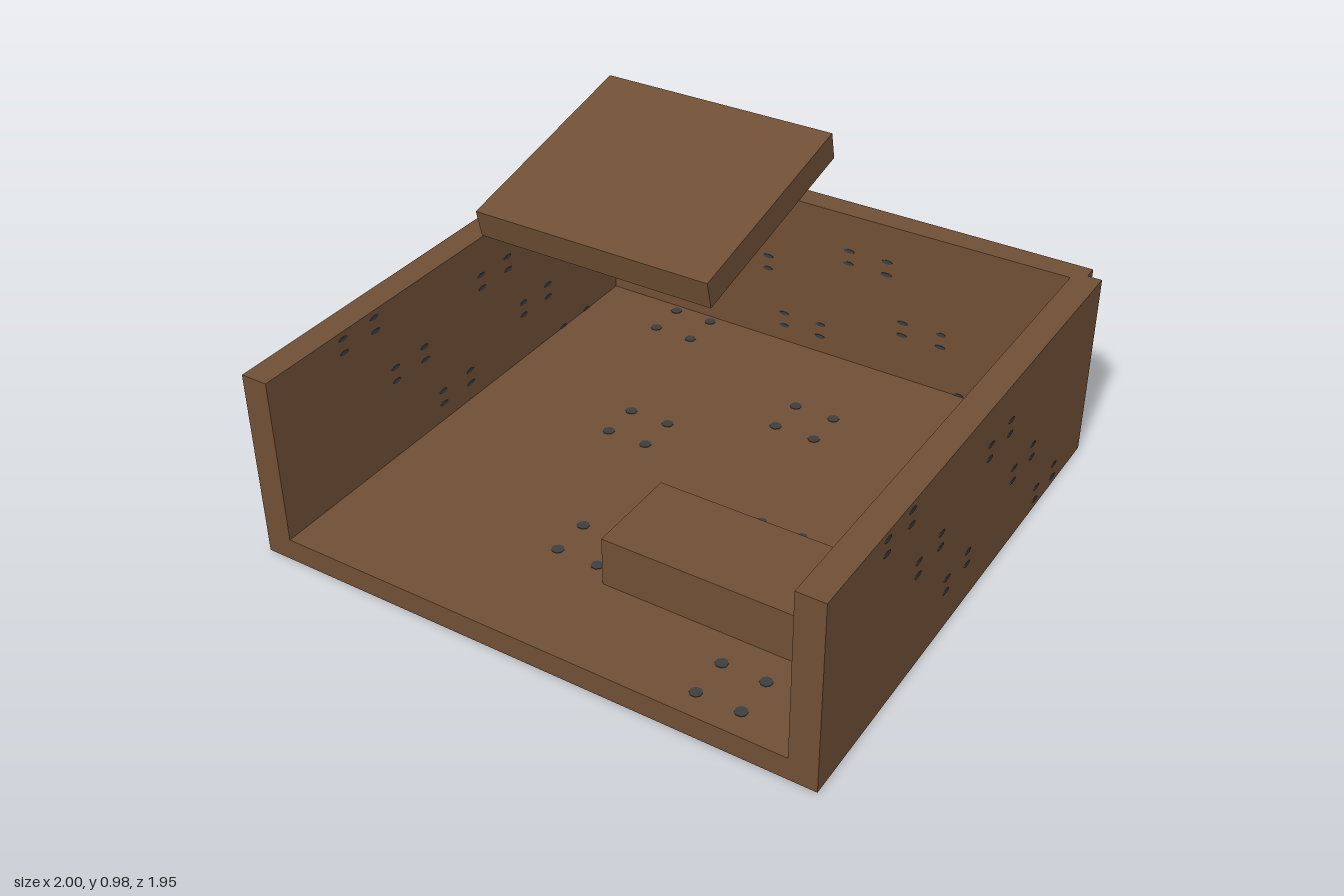
import * as THREE from 'three';

export function createModel() {
  const wood = new THREE.MeshStandardMaterial({ color: 0x704f35 });
  wood.name = 'brown wood';
  const metal = new THREE.MeshStandardMaterial({ color: 0x3c3e40 });
  metal.name = 'dark metal';

  const model = new THREE.Group();
  model.name = 'openTray';

  const board = (name, w, h, d) => {
    const mesh = new THREE.Mesh(new THREE.BoxGeometry(w, h, d), wood);
    mesh.name = name;
    return mesh;
  };

  // Cluster centres: x in units, second value as a fraction of the panel depth
  const clusters = [
    [-0.53, -0.424], [-0.305, -0.08], [-0.08, 0.247],
    [0.17, -0.253], [0.395, 0.082], [0.63, 0.416],
  ];
  const studShape = new THREE.CylinderGeometry(0.021, 0.021, 1, 8).rotateY(Math.PI / 8);

  // Board lying flat, with groups of four studs almost flush with both faces
  function studdedPanel(name, w, t, d) {
    const group = new THREE.Group();
    group.name = name;
    group.add(board(name + 'Board', w, t, d));
    for (const [x, f] of clusters) {
      for (const sx of [-1, 1]) {
        for (const sz of [-1, 1]) {
          const stud = new THREE.Mesh(studShape, metal);
          stud.name = 'stud';
          stud.scale.set(1, t + 0.004, d / 1.9);
          stud.position.set(x + sx * 0.075, 0, (f + sz * 0.0375) * d);
          group.add(stud);
        }
      }
    }
    model.add(group);
    return group;
  }

  // Floor
  studdedPanel('floor', 1.9, 0.08, 1.9).position.set(0, 0.04, 0.025);

  // Back wall, standing upright and stepped in at both ends
  const back = studdedPanel('backWall', 1.9, 0.09, 0.675);
  back.rotation.x = Math.PI / 2;
  back.position.set(0, 0.3375, -0.93);

  // Side walls
  for (const [name, side] of [['leftWall', 1], ['rightWall', -1]]) {
    const wall = studdedPanel(name, 1.9, 0.095, 0.675);
    wall.rotation.set(Math.PI / 2, Math.PI / 2, 0, 'YXZ');
    wall.position.set(side * 0.9525, 0.3375, 0.025);
  }

  // Low block on the floor
  const block = board('block', 0.75, 0.175, 0.335);
  block.position.set(0.435, 0.1675, 0.4625);
  model.add(block);

  // Tilted slab above the back right corner
  const slab = board('tiltedSlab', 0.91, 0.105, 0.835);
  slab.position.set(-0.4375, 0.8355, -0.4695);
  slab.rotation.x = THREE.MathUtils.degToRad(12.8);
  model.add(slab);

  return model;
}
